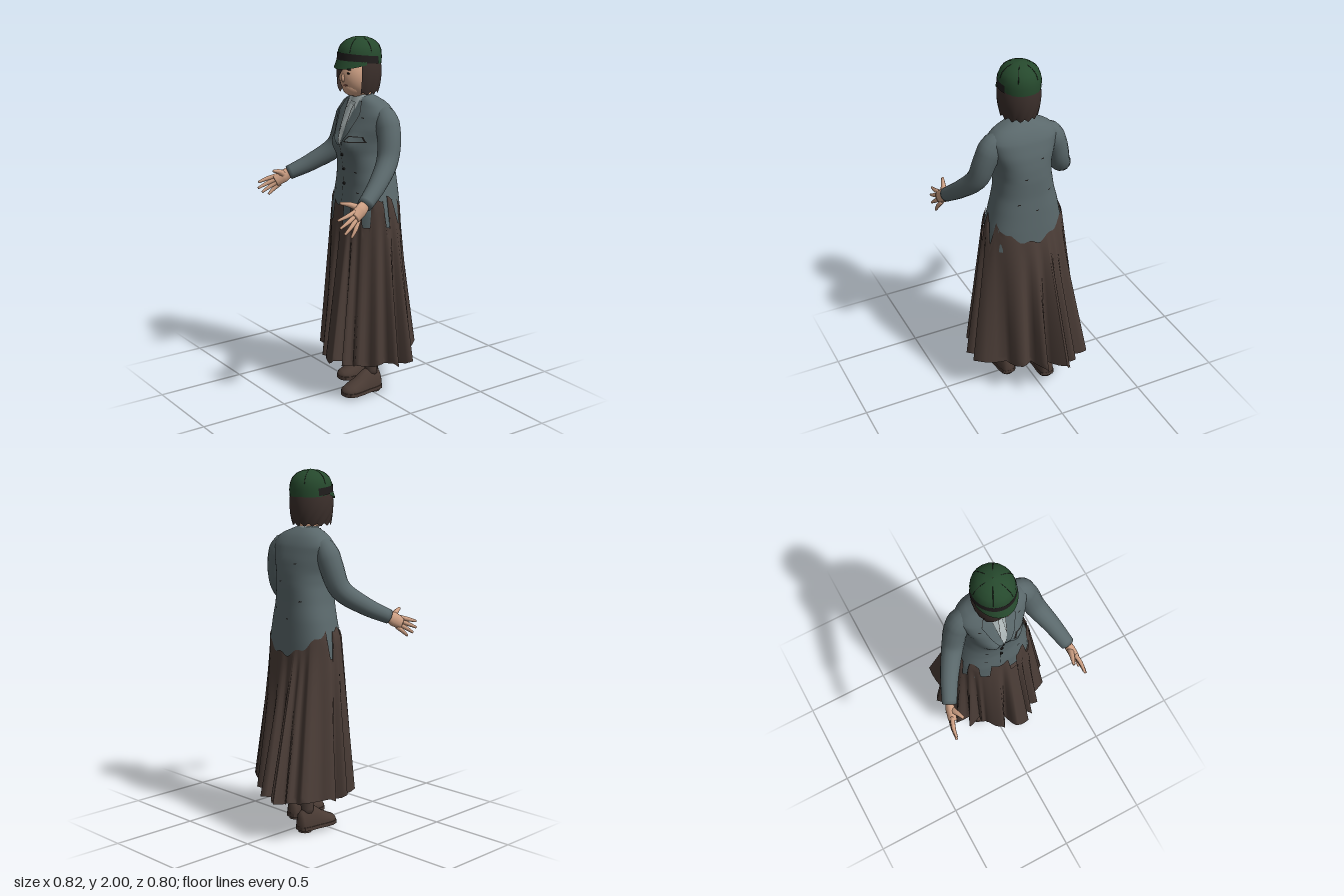
import * as THREE from 'three';

const mat = (name, color) => new THREE.MeshStandardMaterial({ name, color, side: THREE.DoubleSide });
const V = (x, y, z) => new THREE.Vector3(x, y, z);
const lerp = THREE.MathUtils.lerp;
const rad = THREE.MathUtils.degToRad;

// Skin a grid of points, rows of equal length
function loft(rows, closed = true) {
  const n = rows[0].length, index = [];
  for (let i = 0; i < rows.length - 1; i++)
    for (let j = 0; j < (closed ? n : n - 1); j++) {
      const a = i * n + j, b = i * n + (j + 1) % n, c = a + n, d = b + n;
      index.push(a, b, d, a, d, c);
    }
  const g = new THREE.BufferGeometry().setFromPoints(rows.flat());
  g.setIndex(index);
  g.computeVertexNormals();
  return g;
}

// Tapered limb along a smooth path
function limb(points, radii, flatX = 1, steps = 16, sides = 12) {
  const curve = new THREE.CatmullRomCurve3(points.map(p => V(...p)));
  const fr = curve.computeFrenetFrames(steps), rows = [];
  for (let i = -1; i <= steps + 1; i++) {
    const k = THREE.MathUtils.clamp(i, 0, steps), f = k / steps * (radii.length - 1);
    const q = Math.min(Math.floor(f), radii.length - 2);
    const r = i === k ? lerp(radii[q], radii[q + 1], f - q) : 0;
    const c = curve.getPointAt(k / steps);
    rows.push(Array.from({ length: sides }, (_, j) => {
      const a = j / sides * Math.PI * 2;
      const o = fr.normals[k].clone().multiplyScalar(Math.cos(a) * r).addScaledVector(fr.binormals[k], Math.sin(a) * r);
      o.x *= flatX;
      return o.add(c);
    }));
  }
  return loft(rows);
}

// Point on an ellipse given by centre x, half width, front z, back z
const oval = (a, y, cx, hw, zf, zb) =>
  V(cx + hw * Math.sin(a), y, (zf + zb) / 2 + (zf - zb) / 2 * Math.cos(a));

// Torso rings: y, centre x, half width, front z, back z
const TORSO = [
  [0.96, 0.025, 0.222, 0.118, -0.192], [1.08, 0.025, 0.212, 0.117, -0.19], [1.2, 0.023, 0.186, 0.103, -0.186],
  [1.28, 0.023, 0.165, 0.104, -0.182], [1.38, 0.025, 0.152, 0.116, -0.183], [1.45, 0.028, 0.158, 0.122, -0.178],
  [1.52, 0.03, 0.18, 0.108, -0.167], [1.6, 0.03, 0.198, 0.07, -0.142], [1.65, 0.03, 0.16, 0.045, -0.112],
  [1.68, 0.03, 0.085, 0.035, -0.075], [1.695, 0.03, 0.05, 0.02, -0.05]];
const P = 2.4;
function torsoAt(y) {
  let i = 0;
  while (i < TORSO.length - 2 && y > TORSO[i + 1][0]) i++;
  const t = (y - TORSO[i][0]) / (TORSO[i + 1][0] - TORSO[i][0]);
  return TORSO[i].map((v, k) => lerp(v, TORSO[i + 1][k], t));
}
function torsoZ(x, y, side) {
  const [, cx, hw, zf, zb] = torsoAt(y), u = Math.min(1, Math.abs(x - cx) / hw);
  const w = Math.pow(1 - Math.pow(u, P), 1 / P);
  const bust = Math.exp(-Math.pow((Math.abs(x - cx) - 0.07) / 0.05, 2) - Math.pow((y - 1.43) / 0.055, 2));
  return (zf + zb) / 2 + side * (zf - zb) / 2 * w + (side > 0 ? 0.034 * bust * w : 0);
}
// Thin cloth piece lying on the torso; rows are [y, x0, x1]
function patch(list, lift, side = 1) {
  const rows = [];
  for (let i = 0; i < list.length - 1; i++)
    for (let s = i ? 1 : 0; s <= 5; s++) {
      const [y, a, b] = list[i].map((v, k) => lerp(v, list[i + 1][k], s / 5));
      rows.push([0, 1, 2, 3, 4, 5, 6].map(j => {
        const x = lerp(a, b, j / 6);
        return V(x, y, torsoZ(x, y, side) + side * lift);
      }));
    }
  return loft(rows, false);
}

export function createModel() {
  const jacket = mat('jacketGrey', 0x5a686b), brown = mat('skirtBrown', 0x4b3d37), skin = mat('skin', 0xcfa185);
  const shirt = mat('shirtGrey', 0x9ea9aa), tie = mat('tieGrey', 0xb0babb), hairM = mat('hairBrown', 0x3b2f2b);
  const green = mat('hatGreen', 0x26492d), dark = mat('darkTrim', 0x1f1d1c), lip = mat('lip', 0x8a5548), shoe = mat('shoeBrown', 0x4a3b34);
  const model = new THREE.Group();
  const add = (name, geo, m, parent = model) => {
    const o = new THREE.Mesh(geo, m);
    o.name = name;
    parent.add(o);
    return o;
  };

  // Jacket body
  const body = [];
  for (let i = 0; i <= 40; i++) {
    const y = lerp(0.96, 1.695, i / 40), [, cx, hw] = torsoAt(y);
    body.push(Array.from({ length: 48 }, (_, j) => {
      const a = j / 48 * Math.PI * 2, s = Math.sin(a);
      const x = cx + hw * Math.sign(s) * Math.pow(Math.abs(s), 2 / P);
      return V(x, y, torsoZ(x, y, Math.cos(a) >= 0 ? 1 : -1));
    }));
  }
  add('jacketBody', loft(body), jacket);

  // Shirt front, tie, lapels, closure, pocket
  add('shirtFront', patch([[1.678, -0.03, 0.085], [1.55, -0.008, 0.055], [1.43, 0.016, 0.022]], 0.003), shirt);
  const tieRows = e => [[1.64, 0.014 - e, 0.04 + e], [1.61, 0.018 - e, 0.036 + e], [1.5, 0.004 - e, 0.042 + e], [1.43, 0.017, 0.022]];
  add('tieEdge', patch(tieRows(0.002), 0.005), dark);
  add('tie', patch(tieRows(0), 0.007), tie);
  const lapel = [[1.665, -0.05, -0.027], [1.6, -0.075, -0.014], [1.5, -0.04, 0.002], [1.425, 0.006, 0.017]];
  for (const m of [1, -1]) {
    const side = e => lapel.map(([y, a, b]) => [y, 0.021 + m * (a - e - 0.021), 0.021 + m * (b + e - 0.021)]);
    add('lapelEdge', patch(side(0.0015), 0.006), dark);
    add('lapel', patch(side(0), 0.008), jacket);
  }
  add('frontClosure', patch([[1.425, 0.014, 0.016], [1.1, 0.01, 0.012]], 0.003), dark);
  for (const y of [1.37, 1.29, 1.21]) {
    const b = add('button', new THREE.CylinderGeometry(0.008, 0.008, 0.008, 10), dark);
    b.rotation.x = Math.PI / 2;
    b.position.set(0.02, y, torsoZ(0.02, y, 1) + 0.004);
  }
  add('pocketSlit', patch([[1.486, 0.09, 0.162], [1.452, 0.068, 0.17]], 0.004), dark);
  add('pocketWelt', patch([[1.482, 0.1, 0.158], [1.458, 0.08, 0.164]], 0.007), jacket);

  // Small dark creases in the cloth
  for (const [x, y, side] of [[-0.07, 1.26, 1], [0.1, 1.28, 1], [0.12, 1.17, 1], [-0.08, 1.16, 1], [-0.1, 1.56, 1],
    [0.13, 1.58, 1], [0.06, 1.4, -1], [-0.04, 1.5, -1], [0.1, 1.25, -1], [-0.08, 1.3, -1], [0.0, 1.2, -1]])
    add('crease', patch([[y + 0.006, x, x + 0.015], [y, x + 0.004, x + 0.02]], 0.003, side), dark);

  // Pleated skirt: hem peaks as x, z, and depth of the fold after each (1 is a flat panel)
  const cx = 0.03, cz = -0.05;
  const peaks = [[-0.2, 0.128, 0.85], [-0.12, 0.135, 0.95], [-0.086, 0.16, 1], [-0.013, 0.233, 0.74], [0.053, 0.255, 1],
    [0.135, 0.262, 0.78], [0.177, 0.233, 0.78], [0.24, 0.186, 0.88], [0.33, 0.09, 0.78], [0.374, -0.013, 0.7],
    [0.374, -0.11, 0.76], [0.148, -0.295, 0.74], [0.027, -0.38, 0.68], [-0.08, -0.4, 1], [-0.1, -0.4, 0.8],
    [-0.157, -0.36, 0.82], [-0.245, -0.325, 0.9], [-0.3, -0.12, 0.78], [-0.29, -0.02, 0.85], [-0.26, 0.07, 0.8]]
    .map(([x, z, d]) => ({ a: Math.atan2(x - cx, z - cz), r: Math.hypot(x - cx, z - cz), d })).sort((p, q) => p.a - q.a);
  const cols = [];
  peaks.forEach((p, i) => {
    const q = peaks[(i + 1) % peaks.length], span = (q.a - p.a + Math.PI * 2) % (Math.PI * 2);
    const valley = p.d < 1 ? p.d * Math.min(p.r, q.r) : (p.r + q.r) / 2;
    for (let k = 0; k < 6; k++) {
      const r = k < 3 ? lerp(p.r, valley, k / 3) : lerp(valley, q.r, (k - 3) / 3);
      cols.push({ a: p.a + span * k / 6, r, hem: 0.215 + 0.02 * Math.abs(k - 3) / 3 + 0.012 * Math.sin(i * 2.1) });
    }
  });
  // Jacket shows through at these angles and half widths
  const notches = [[-62, 0.09], [-28, 0.14], [14, 0.09], [48, 0.13], [84, 0.08], [112, 0.09], [-100, 0.08]];
  const skirt = [];
  for (let i = 0; i <= 24; i++) skirt.push(cols.map(({ a, r, hem }) => {
    const c = Math.cos(a);
    const waist = 1.1 + 0.05 * Math.sin(a) ** 2 - (c < 0 ? 0.09 * c * c : 0) + 0.012 * Math.sin(a * 13);
    let top = waist;
    for (const [deg, half] of notches)
      if (Math.abs(Math.atan2(Math.sin(a - rad(deg)), Math.cos(a - rad(deg)))) < half) top = Math.min(top, 0.995);
    const start = Math.min(1.1, waist), y = lerp(top, hem, i / 24), s = Math.max(0, (start - y) / (start - hem));
    const f = 1 - 1.8 * Math.max(0, y - 1.1);
    const w = oval(a, y, 0.025, 0.228 * f, 0.13 * f, -0.199 * f);
    return V(lerp(w.x, cx + r * Math.sin(a), s), y, lerp(w.z, cz + r * Math.cos(a), s));
  }));
  add('skirt', loft(skirt), brown);

  // Sleeves and hands: fingers and thumb given by their tips
  const arms = [
    { name: 'right', path: [[-0.05, 1.59, -0.04], [-0.125, 1.585, -0.04], [-0.17, 1.5, -0.035], [-0.212, 1.37, -0.005], [-0.292, 1.275, 0.105], [-0.358, 1.21, 0.225]],
      tips: [[-0.405, 1.17, 0.396], [-0.406, 1.135, 0.398], [-0.402, 1.11, 0.375], [-0.392, 1.095, 0.34]], thumb: [-0.332, 1.24, 0.34] },
    { name: 'left', path: [[0.11, 1.59, -0.04], [0.19, 1.585, -0.04], [0.235, 1.5, -0.035], [0.272, 1.37, 0], [0.324, 1.265, 0.1], [0.366, 1.175, 0.215]],
      tips: [[0.38, 1.125, 0.392], [0.392, 1.085, 0.385], [0.397, 1.05, 0.36], [0.392, 1.025, 0.315]], thumb: [0.332, 1.2, 0.345] }];
  for (const { name, path, tips, thumb } of arms) {
    const arm = new THREE.Group();
    arm.name = name + 'Arm';
    model.add(arm);
    add('sleeve', limb(path, [0.045, 0.067, 0.063, 0.056, 0.048, 0.04], 1, 30, 16), jacket, arm);
    const w = V(...path[5]), mid = tips.reduce((s, t) => s.add(V(...t).multiplyScalar(0.25)), V(0, 0, 0));
    const palm = w.clone().lerp(mid, 0.5);
    add('palm', limb([w.clone().lerp(mid, -0.12).toArray(), w.clone().lerp(mid, 0.25).toArray(), palm.toArray()],
      [0.028, 0.039, 0.035], 0.65), skin, arm);
    tips.forEach((t, i) => {
      const tip = V(...t), root = palm.clone().add(V(0, 0.03 - 0.02 * i, 0.004 - 0.008 * i)).lerp(w, 0.15);
      const knuckle = root.clone().lerp(tip, 0.5).add(V(Math.sign(t[0]) * 0.006, 0, 0));
      add('finger', limb([root.toArray(), knuckle.toArray(), t], [0.013, 0.012, 0.007], 0.95, 6, 8), skin, arm);
    });
    const base = w.clone().lerp(mid, 0.15);
    add('thumb', limb([base.toArray(), base.clone().lerp(V(...thumb), 0.55).add(V(0, 0.008, 0)).toArray(), thumb],
      [0.022, 0.015, 0.008], 0.95, 6, 8), skin, arm);
  }

  // Legs and shoes; shoe rings are z, half width, height
  const shoeRings = [[-0.128, 0.001, 0.04], [-0.124, 0.024, 0.09], [-0.112, 0.038, 0.12], [-0.07, 0.046, 0.15], [-0.02, 0.047, 0.14],
    [0.03, 0.054, 0.105], [0.08, 0.056, 0.078], [0.112, 0.044, 0.064], [0.127, 0.022, 0.05], [0.131, 0.001, 0.036]];
  for (const [name, x, z, turn] of [['right', -0.08, -0.057, -0.06], ['left', 0.125, 0.06, 0.04]]) {
    const leg = new THREE.Group();
    leg.name = name + 'Leg';
    leg.position.set(x, 0, z);
    leg.rotation.y = turn;
    model.add(leg);
    add('stocking', limb([[0, 0.1, -0.065], [0, 0.25, -0.065], [0, 0.65, -0.05]], [0.035, 0.044, 0.06]), brown, leg);
    add('shoeUpper', loft(shoeRings.map(([rz, hw, h]) => Array.from({ length: 16 }, (_, j) => {
      const a = j / 16 * Math.PI * 2, s = Math.sin(a);
      return V(hw * Math.cos(a), s > 0 ? 0.035 + (h - 0.035) * s : 0.035 + 0.018 * s, rz);
    }))), shoe, leg);
    const outline = new THREE.Shape([...shoeRings.map(r => new THREE.Vector2(r[1] + 0.004, -r[0])),
      ...shoeRings.slice().reverse().map(r => new THREE.Vector2(-r[1] - 0.004, -r[0]))]);
    const sole = add('sole', new THREE.ExtrudeGeometry(outline, { depth: 0.02, bevelEnabled: false }), shoe, leg);
    sole.rotation.x = -Math.PI / 2;
    sole.position.y = 0.014;
    add('heel', new THREE.CylinderGeometry(0.04, 0.038, 0.02, 14), shoe, leg).position.set(0, 0.01, -0.082);
  }

  // Neck and shirt collar
  add('neck', new THREE.CylinderGeometry(0.046, 0.05, 0.12, 16), skin).position.set(0.028, 1.7, -0.008);
  add('collar', loft([[1.655, 0.076, 0.055], [1.695, 0.058, 0.042]].map(([y, r, f]) =>
    Array.from({ length: 24 }, (_, j) => oval(j / 24 * Math.PI * 2, y, 0.029, r, f, -r)))), shirt);
  for (const m of [1, -1])
    add('collarPoint', patch([[1.68, 0.029 + m * 0.05, 0.029 + m * 0.01], [1.62, 0.029 + m * 0.04, 0.029 + m * 0.03]], 0.009), tie);

  // Head and face
  const ball = (name, m, p, s) => {
    const o = add(name, new THREE.SphereGeometry(1, 24, 16), m);
    o.position.set(...p);
    o.scale.set(...s);
    return o;
  };
  ball('head', skin, [0.028, 1.795, 0.025], [0.09, 0.117, 0.1]);
  ball('jaw', skin, [0.032, 1.738, 0.055], [0.058, 0.052, 0.058]);
  ball('nose', skin, [0.038, 1.788, 0.118], [0.011, 0.022, 0.016]);
  ball('mouth', lip, [0.036, 1.75, 0.11], [0.024, 0.007, 0.007]);
  for (const x of [0.0, 0.072]) {
    ball('eye', dark, [x, 1.815, 0.112], [0.012, 0.005, 0.005]);
    ball('eyebrow', hairM, [x, 1.835, 0.108], [0.02, 0.004, 0.006]);
  }

  // Bobbed hair with a fringe swept over one eye
  const bob = [];
  for (let i = 0; i <= 12; i++) {
    const t = i / 12, r = 1 - 0.1 * (2 * t - 0.8) ** 2;
    bob.push(Array.from({ length: 49 }, (_, j) => {
      const a = lerp(rad(64), rad(360 + lerp(30, -50, Math.pow(t, 1.2))), j / 48);
      const bottom = 1.705 + 0.008 * Math.sin(j * 1.3);
      return oval(a, lerp(1.89, bottom, t), 0.022, 0.115 * r, 0.131 * lerp(1, r, 0.5), -0.115 * r);
    }));
  }
  add('hair', loft(bob, false), hairM);

  // Cap: crown, seams, band and brim
  const crown = [[1.855, 0.111], [1.89, 0.114], [1.925, 0.11], [1.955, 0.098], [1.98, 0.072], [1.994, 0.04], [2, 0.001]];
  const capPoint = (a, y, r) => oval(a, y, 0.021, r, r * 1.1, -r * 1.04);
  add('capCrown', loft(crown.map(([y, r]) => Array.from({ length: 24 }, (_, j) => capPoint(j / 24 * Math.PI * 2, y, r)))), green);
  for (let k = 0; k < 6; k++)
    add('capSeam', limb(crown.slice(2, 6).map(([y, r]) => capPoint((k + 0.5) * Math.PI / 3, y - 0.001, r).toArray()), [0.0015, 0.0015], 1, 10, 5), dark);
  const arc = (half, f) => Array.from({ length: 33 }, (_, j) => f(rad(lerp(-half, half, j / 32)), Math.cos(Math.PI / 2 * (j / 16 - 1))));
  add('capBand', loft([1.88, 1.92].map((y, i) => arc(112, a => capPoint(a, y - 0.014 * (1 - Math.cos(a)), i ? 0.114 : 0.117))), false), dark);
  add('capBrim', loft([0, 0.5, 1].map(t => arc(75, (a, w) => {
    const p = capPoint(a, 1.885 - 0.05 * t * (0.5 + 0.5 * w), 0.115 + 0.004 * t);
    p.z += 0.018 * t * w;
    return p;
  })), false), green);

  return model;
}
